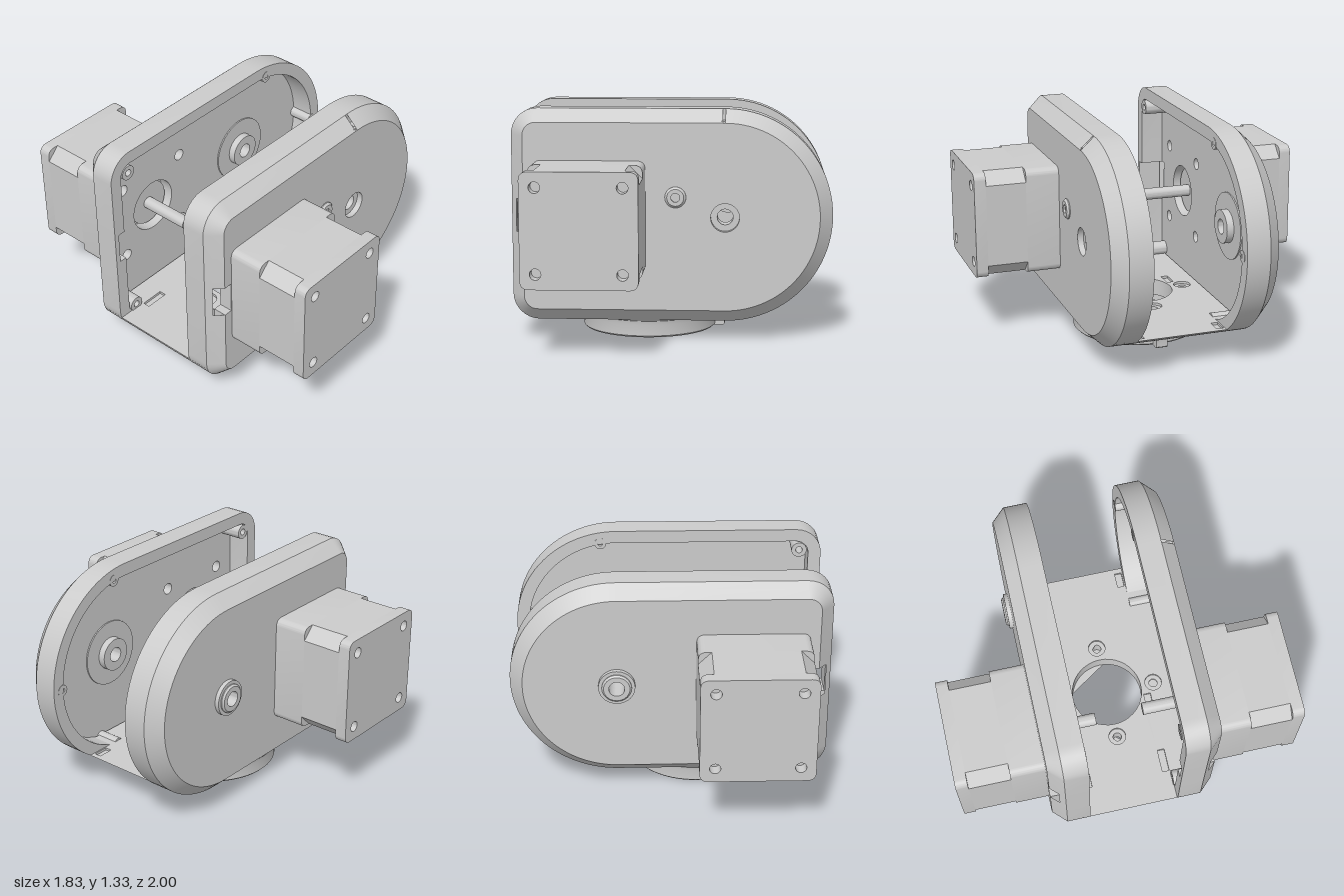
import * as THREE from 'three';
import { toCreasedNormals } from 'three/addons/utils/BufferGeometryUtils.js';

const grey = new THREE.MeshStandardMaterial({ color: 0xcccccc, side: THREE.DoubleSide });
const V = (x, y) => new THREE.Vector2(x, y);

function add(parent, name, geometry, x = 0, y = 0, z = 0) {
  const mesh = new THREE.Mesh(toCreasedNormals(geometry, 0.5), grey);
  mesh.name = name;
  mesh.position.set(x, y, z);
  parent.add(mesh);
  return mesh;
}

const circle = (x, y, r) => new THREE.Path().absarc(x, y, r, 0, Math.PI * 2, true);
const rect = (x0, x1, y0, y1) => new THREE.Path([V(x0, y0), V(x0, y1), V(x1, y1), V(x1, y0)]);

function extrude(shape, z0, z1, steps = 1) {
  return new THREE.ExtrudeGeometry(shape, { depth: z1 - z0, steps, bevelEnabled: false, curveSegments: 20 })
    .translate(0, 0, z0);
}

// Hollow cylinder along z
function ring(ro, ri, z0, z1, bevel = 0) {
  return new THREE.LatheGeometry([V(ri, z0), V(ro, z0), V(ro, z1 - bevel), V(ro - bevel, z1), V(ri, z1), V(ri, z0)], 40)
    .rotateX(Math.PI / 2);
}

// Housing outline, inset by d: round right end, square left end with small corners.
// The two window points (59, 60) may be joined by a notch reaching notchX.
const WINDOW = 59, SLOT = 48, INSET = 0.075;
function outline(d, notchX) {
  const pts = [];
  const arc = (cx, cy, r, a0, a1, n) => {
    for (let i = 0; i <= n; i++) {
      const a = a0 + (a1 - a0) * i / n;
      pts.push(V(cx + r * Math.cos(a), cy + r * Math.sin(a)));
    }
  };
  const left = -0.92 + d, q = Math.PI / 2;
  arc(0.3, 0, 0.61 - d, -q, q, 48);
  pts.push(V(0.285, 0.61 - d));
  arc(-0.77, 0.46, 0.15 - d, q, 2 * q, 8);
  pts.push(V(left, 0.095));
  if (notchX !== undefined) pts.push(V(notchX, 0.095), V(notchX, -0.095));
  pts.push(V(left, -0.095));
  arc(-0.77, -0.46, 0.15 - d, 2 * q, 3 * q, 8);
  return pts;
}

// Sloped edge band, with openings for the window and the top slot
function chamfer(hasSlot) {
  const rows = [0, 0.03, INSET].map(d => ({ z: 0.41 + 0.08 * d / INSET, pts: outline(d) }));
  const pos = [], n = rows[0].pts.length;
  for (let r = 0; r < 2; r++) {
    for (let i = 0; i < n; i++) {
      if (i === WINDOW && r === 1) continue;
      if (i === SLOT && hasSlot) continue;
      const p = (k, j) => [rows[k].pts[j % n].x, rows[k].pts[j % n].y, rows[k].z];
      const a = p(r, i), b = p(r, i + 1), c = p(r + 1, i + 1), e = p(r + 1, i);
      pos.push(...a, ...b, ...c, ...a, ...c, ...e);
    }
  }
  const g = new THREE.BufferGeometry();
  g.setAttribute('position', new THREE.Float32BufferAttribute(pos, 3));
  g.computeVertexNormals();
  return g;
}

// Motor with flattened corners in its middle section
function motor() {
  const group = new THREE.Group();
  group.name = 'motor';
  group.position.x = -0.47;
  const section = (cut, round, holes) => {
    const s = new THREE.Shape(), h = 0.32;
    const corners = [[1, -1], [1, 1], [-1, 1], [-1, -1]];
    corners.forEach(([sx, sy], i) => {
      const alongX = [V(sx * (h - cut), sy * h), V(sx * h, sy * (h - cut))];
      const [a, b] = i % 2 ? [alongX[1], alongX[0]] : alongX;
      if (i) s.lineTo(a.x, a.y); else s.moveTo(a.x, a.y);
      if (round) s.quadraticCurveTo(sx * h, sy * h, b.x, b.y); else s.lineTo(b.x, b.y);
      if (holes) s.holes.push(circle(sx * 0.235, sy * 0.235, 0.031));
    });
    s.closePath();
    return s;
  };
  add(group, 'motorFlange', extrude(section(0.05, true, false), 0.49, 0.69));
  add(group, 'motorCore', extrude(section(0.075, false, false), 0.69, 0.93));
  add(group, 'motorEndCap', extrude(section(0.05, true, true), 0.93, 1));
  add(group, 'motorPilot', ring(0.14, 0.03, 0.45, 0.49));
  add(group, 'motorShaft', new THREE.CylinderGeometry(0.036, 0.036, 0.35, 24).rotateX(Math.PI / 2), 0, 0, 0.315);
  return group;
}

// One side housing, built facing +z about the axle height
function housing(isFront) {
  const group = new THREE.Group();
  group.name = isFront ? 'frontHousing' : 'backHousing';
  const rim = new THREE.Shape(outline(0));
  rim.holes.push(new THREE.Path(outline(INSET, -0.89).reverse()));
  add(group, 'rim', extrude(rim, 0.27, 0.41));

  const plate = new THREE.Shape(outline(INSET, -0.795));
  plate.holes.push(circle(0.3, 0, 0.081), circle(-0.47, 0, 0.16));
  for (const sx of [-1, 1]) for (const sy of [-1, 1])
    plate.holes.push(circle(-0.47 + sx * 0.235, sy * 0.235, 0.035));
  add(group, 'sidePlate', extrude(plate, 0.41, 0.49));
  add(group, 'chamferedEdge', chamfer(isFront));
  group.add(motor());

  // Bearing seat on the inner face
  add(group, 'bearingSeat', ring(0.2, 0.08, 0.402, 0.412), 0.3, 0, 0);
  add(group, 'bearingBoss', ring(0.1, 0.045, 0.36, 0.41), 0.3, 0, 0);
  add(group, 'bearingSleeve', ring(0.082, 0.045, 0.40, 0.455), 0.3, 0, 0);

  // Screw posts in the corners and along the rim
  for (const s of [-1, 1]) add(group, 'cornerPost', ring(0.045, 0.02, 0.265, 0.41), -0.79, s * 0.48, 0);
  for (const deg of [80, 0, -80]) {
    const a = deg * Math.PI / 180;
    add(group, 'rimPost', ring(0.035, 0.015, 0.268, 0.41), 0.3 + 0.54 * Math.cos(a), 0.54 * Math.sin(a), 0);
  }

  if (isFront) {
    add(group, 'smallBoss', ring(0.06, 0.025, 0.48, 0.508, 0.012), 0.02, 0.115, 0);
    add(group, 'smallBossPin', ring(0.025, 0.001, 0.48, 0.497), 0.02, 0.115, 0);
    add(group, 'slotFloor', new THREE.BoxGeometry(0.03, 0.02, 0.07), 0.2925, 0.535, 0.445);
  } else {
    add(group, 'axleFlange', ring(0.105, 0.045, 0.45, 0.515), 0.3, 0, 0);
    add(group, 'axleCollar', ring(0.085, 0.045, 0.5, 0.532, 0.01), 0.3, 0, 0);
    group.rotation.x = Math.PI;
  }
  group.position.y = 0.72;
  return group;
}

// Floor layer between two heights, its ends following the housing outline
function floorLayer(y0, y1, steps, screwRadius, slots) {
  const s = new THREE.Shape([V(-0.92, -0.4), V(0.635, -0.4), V(0.635, 0.4), V(-0.92, 0.4)]);
  s.holes.push(circle(-0.16, 0, 0.215));
  for (const [x, z] of [[1, 0], [-1, 0], [0, 1], [0, -1]])
    s.holes.push(circle(-0.16 + x * 0.295, z * 0.295, screwRadius));
  for (const [a, b] of slots) s.holes.push(rect(a, b, 0.22, 0.262), rect(a, b, -0.262, -0.22));
  const g = extrude(s, y0, y1, steps).rotateX(-Math.PI / 2);
  const p = g.attributes.position;
  for (let i = 0; i < p.count; i++) {
    const x = p.getX(i), y = p.getY(i);
    if (x > 0.63) p.setX(i, 0.3 + Math.sqrt(Math.max(0, 0.3721 - (0.72 - y) ** 2)));
    if (x < -0.915) p.setX(i, -0.77 - Math.sqrt(Math.max(0, 0.0225 - (0.26 - y) ** 2)));
  }
  return g;
}

export function createModel() {
  const model = new THREE.Group();
  model.name = 'motorYoke';
  model.add(housing(true), housing(false));

  // Floor joining the two housings
  add(model, 'floorBottom', floorLayer(0.11, 0.195, 8, 0.026, []));
  add(model, 'floorTop', floorLayer(0.195, 0.21, 1, 0.052, [[-0.735, -0.595], [-0.335, -0.225], [0.51, 0.603]]));

  // Round mounting base with key and peg
  const profile = [[0.32, 0.11], [0.32, 0.03], [0.345, 0.03], [0.345, 0], [0.385, 0],
    [0.395, 0.01], [0.395, 0.075], [0.4, 0.098], [0.415, 0.112]].map(([x, y]) => V(x, y));
  add(model, 'baseRing', new THREE.LatheGeometry(profile, 72), -0.16, 0, 0);
  const key = new THREE.Shape([V(0.2, 0), V(0.285, 0), V(0.292, 0.01), V(0.292, 0.07), V(0.302, 0.095), V(0.335, 0.112), V(0.2, 0.112)]);
  add(model, 'baseKey', extrude(key, -0.035, 0.035));
  const peg = add(model, 'basePeg', new THREE.BoxGeometry(0.03, 0.025, 0.12), 0.16, 0.1, -0.305);
  peg.rotation.y = 0.5;
  return model;
}
